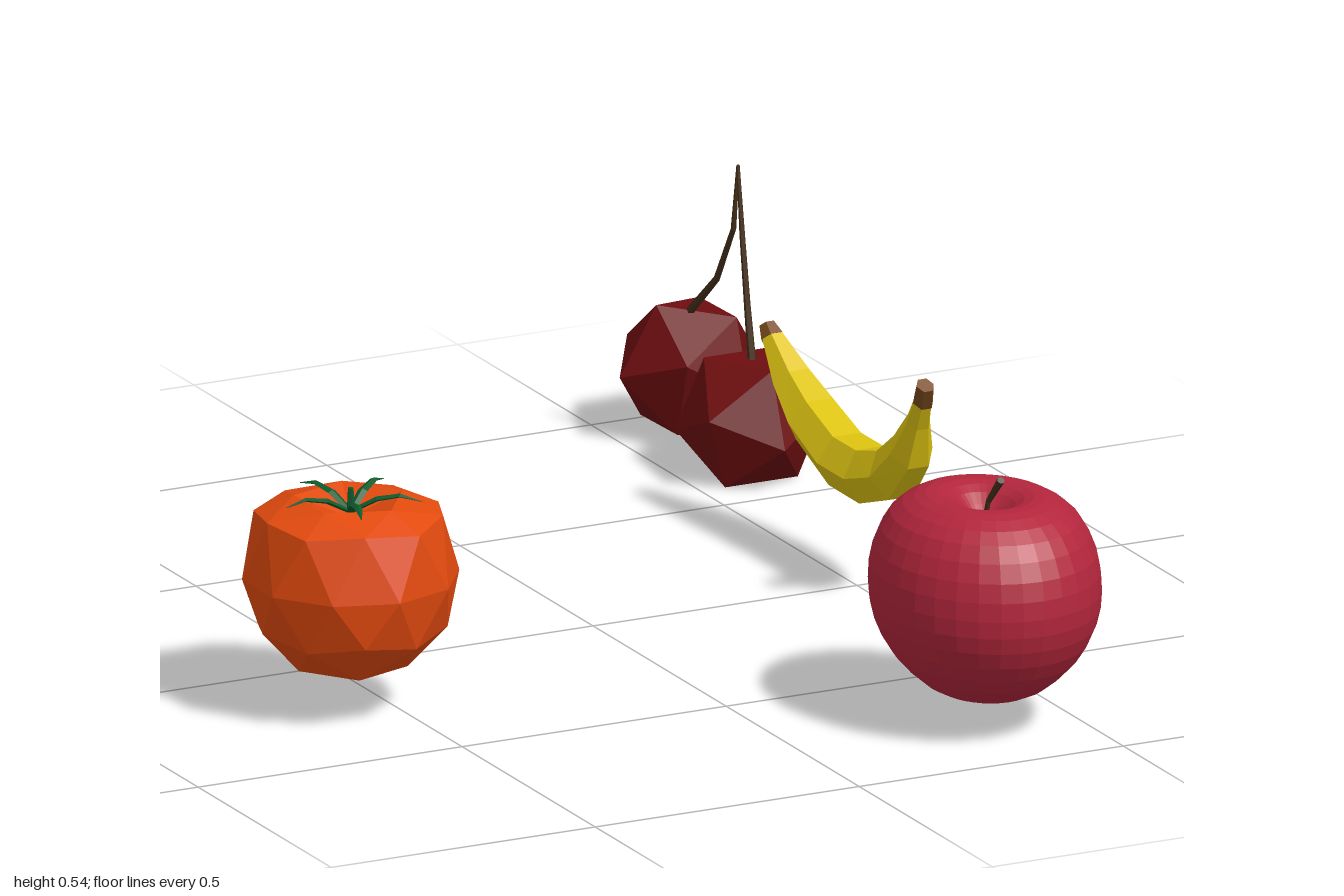
import * as THREE from 'three';

const mat = (name, color) => {
  const m = new THREE.MeshStandardMaterial({ color });
  m.name = name;
  return m;
};

// Faceted normals for the low-poly look
function flat(geo) {
  const g = geo.index ? geo.toNonIndexed() : geo;
  g.computeVertexNormals();
  return g;
}

// Capped tube through rings [x, y, z, radius] whose path lies roughly in the yz plane
function loft(rings, sides, squash = 1) {
  const pos = [], idx = [];
  const pts = rings.map(r => new THREE.Vector3(r[0], r[1], r[2]));
  const X = new THREE.Vector3(1, 0, 0);
  const last = rings.length - 1;
  pts.forEach((p, i) => {
    const t = pts[Math.min(i + 1, last)].clone().sub(pts[Math.max(i - 1, 0)]).normalize();
    const n = t.cross(X).normalize();
    for (let j = 0; j < sides; j++) {
      const a = (j / sides) * Math.PI * 2, r = rings[i][3];
      const v = p.clone().addScaledVector(X, r * Math.cos(a)).addScaledVector(n, r * squash * Math.sin(a));
      pos.push(v.x, v.y, v.z);
    }
  });
  pos.push(...pts[0].toArray(), ...pts[last].toArray());
  const c0 = rings.length * sides, c1 = c0 + 1;
  for (let j = 0; j < sides; j++) {
    const k = (j + 1) % sides;
    for (let i = 0; i < last; i++) {
      const a = i * sides + j, b = i * sides + k;
      idx.push(a, b, b + sides, a, b + sides, a + sides);
    }
    idx.push(c0, k, j, c1, last * sides + j, last * sides + k);
  }
  const g = new THREE.BufferGeometry();
  g.setAttribute('position', new THREE.Float32BufferAttribute(pos, 3));
  g.setIndex(idx);
  return flat(g);
}

// Icosahedron resting on a face, with one top corner towards +z
function cherryGeometry(radius) {
  const y = new THREE.Vector3(1, 1, 1).normalize();
  const z = new THREE.Vector3(0, 1, (1 + Math.sqrt(5)) / 2);
  z.addScaledVector(y, -z.dot(y)).normalize();
  const x = new THREE.Vector3().crossVectors(y, z);
  const m = new THREE.Matrix4().makeBasis(x, y, z).invert();
  return flat(new THREE.IcosahedronGeometry(radius, 0).applyMatrix4(m));
}

// Low-poly ball with flattened shoulders and a dip at the top
function tomatoGeometry(radius) {
  const g = new THREE.IcosahedronGeometry(1, 1);
  g.rotateZ(-Math.atan(2 / (1 + Math.sqrt(5))));
  const p = g.attributes.position;
  for (let i = 0; i < p.count; i++) {
    const h = p.getY(i);
    let y = h * radius;
    if (h > 0.95) y = 0.1;
    else if (h > 0.7) y = 0.135;
    else if (h > 0.3) y = 0.105 + (h - 0.447) * 0.1;
    p.setXYZ(i, p.getX(i) * radius, y, p.getZ(i) * radius);
  }
  return flat(g);
}

export function createModel() {
  const root = new THREE.Group();
  root.name = 'fruit';
  const red = mat('apple red', 0xb3263c);
  const orange = mat('tomato orange', 0xe24a0e);
  const yellow = mat('banana yellow', 0xdec412);
  const maroon = mat('cherry maroon', 0x6e0e10);
  const green = mat('leaf green', 0x0e5a2c);
  const bark = mat('stem brown', 0x47301c);
  const tip = mat('banana tip brown', 0x7a4a1e);

  const group = name => {
    const g = new THREE.Group();
    g.name = name;
    root.add(g);
    return g;
  };
  const add = (parent, name, geo, material, x = 0, y = 0, z = 0) => {
    const m = new THREE.Mesh(geo, material);
    m.name = name;
    m.position.set(x, y, z);
    parent.add(m);
    return m;
  };

  // Apple: turned profile with a dimple at both ends, longer in z
  const apple = group('apple');
  const profile = new THREE.SplineCurve([
    [0, 0.085], [0.025, 0.072], [0.055, 0.056], [0.1, 0.073], [0.152, 0.125], [0.182, 0.185], [0.191, 0.245],
    [0.183, 0.31], [0.155, 0.368], [0.115, 0.398], [0.08, 0.404], [0.05, 0.39], [0.02, 0.358], [0, 0.345],
  ].map(p => new THREE.Vector2(...p))).getPoints(26);
  profile.forEach(p => { p.x = Math.max(p.x, 0); });
  profile[0].x = profile[26].x = 0;
  const body = add(apple, 'appleBody', flat(new THREE.LatheGeometry(profile, 32)), red, 0.353, 0, 0.772);
  body.scale.z = 1.18;
  add(apple, 'appleStem', loft([
    [0.353, 0.34, 0.765, 0.005], [0.353, 0.395, 0.785, 0.005], [0.354, 0.445, 0.83, 0.007],
  ], 6), bark);

  // Tomato with a five-pointed calyx
  const tomato = group('tomato');
  add(tomato, 'tomatoBody', tomatoGeometry(0.186), orange, -0.575, 0.241, 0.23);
  const leaf = loft([
    [0, 0.352, 0, 0.007], [0, 0.377, 0.045, 0.009], [0, 0.385, 0.085, 0.007], [0, 0.376, 0.122, 0.001],
  ], 4, 0.5);
  for (let i = 0; i < 5; i++) {
    const m = add(tomato, 'calyxLeaf', leaf, green, -0.575, 0, 0.23);
    m.rotation.y = -Math.PI / 2 + (i * Math.PI * 2) / 5;
  }
  add(tomato, 'tomatoStem', flat(new THREE.CylinderGeometry(0.005, 0.008, 0.055, 5)), green, -0.575, 0.367, 0.23);

  // Banana: six-sided curved body with brown ends
  const banana = group('banana');
  add(banana, 'bananaBody', loft([
    [0.505, 0.395, 0.238, 0.017], [0.511, 0.35, 0.208, 0.022], [0.518, 0.285, 0.168, 0.04],
    [0.522, 0.225, 0.1, 0.05], [0.522, 0.197, 0.01, 0.053], [0.522, 0.197, -0.09, 0.053],
    [0.52, 0.237, -0.2, 0.05], [0.515, 0.285, -0.27, 0.038], [0.508, 0.347, -0.333, 0.02],
  ], 6), yellow);
  add(banana, 'bananaStalk', loft([
    [0.505, 0.394, 0.238, 0.019], [0.496, 0.432, 0.264, 0.016],
  ], 6), tip);
  add(banana, 'bananaEnd', loft([
    [0.508, 0.345, -0.332, 0.022], [0.506, 0.364, -0.349, 0.015],
  ], 6), tip);

  // Pair of cherries joined at the top of their stems
  const cherries = group('cherries');
  const cherry = cherryGeometry(0.131);
  add(cherries, 'frontCherry', cherry, maroon, 0.615, 0.105, -0.627);
  const back = add(cherries, 'backCherry', cherry, maroon, 0.627, 0.12, -0.885);
  back.rotation.set(0.08, Math.PI / 6, -0.2);
  add(cherries, 'frontCherryStem', loft([
    [0.615, 0.19, -0.62, 0.008], [0.614, 0.3, -0.638, 0.006], [0.613, 0.42, -0.655, 0.005], [0.612, 0.54, -0.669, 0.003],
  ], 5), bark);
  add(cherries, 'backCherryStem', loft([
    [0.618, 0.21, -0.88, 0.008], [0.616, 0.315, -0.755, 0.006], [0.614, 0.42, -0.69, 0.005], [0.612, 0.54, -0.669, 0.003],
  ], 5), bark);

  return root;
}
